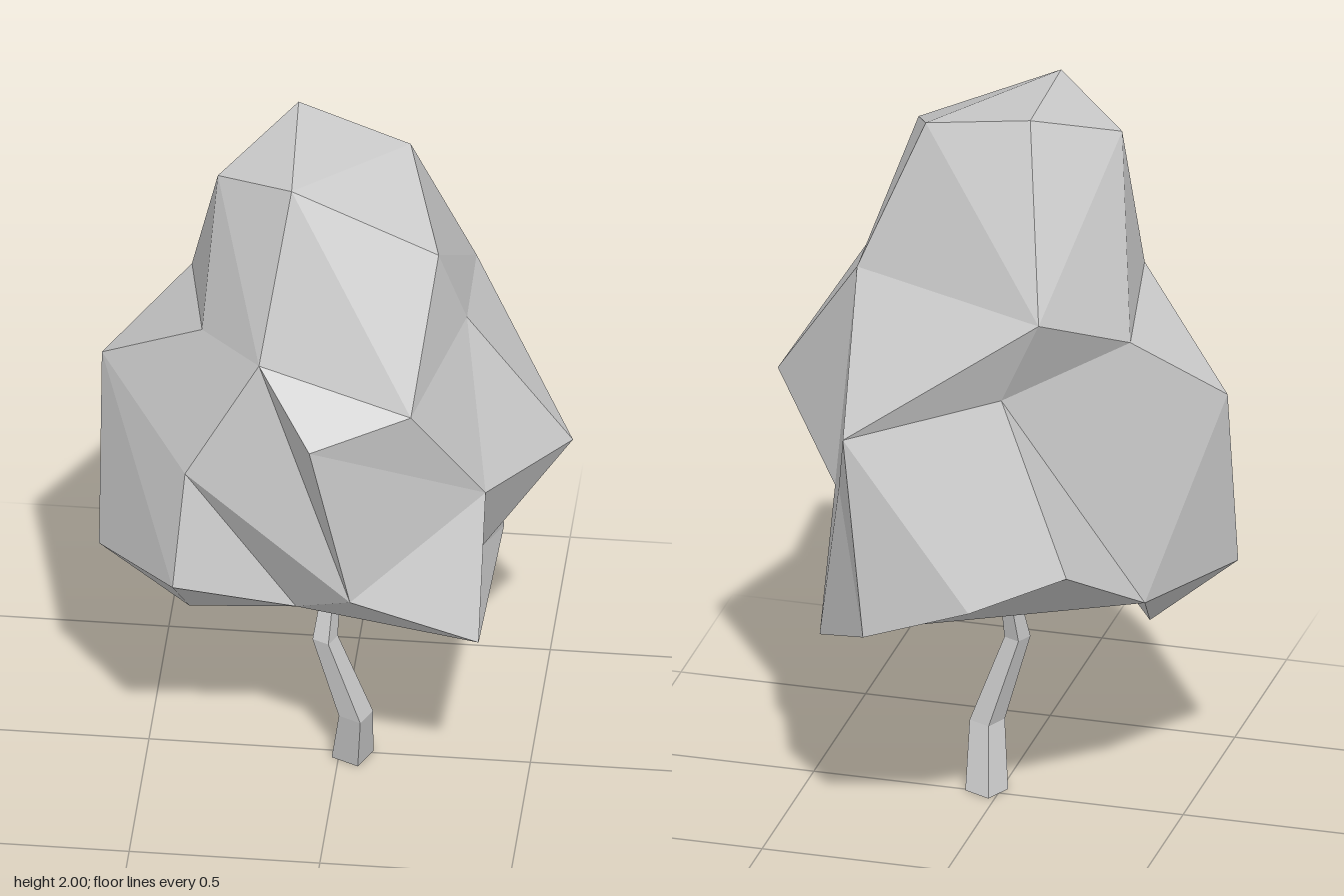
import * as THREE from 'three';

const material = new THREE.MeshStandardMaterial({ color: 0xcccccc, flatShading: true });

// Corner points of the faceted crown, from the tip down
const corners = {
  A: [-0.12, 2, -0.12], B: [-0.1, 1.98, 0.25], C: [0.18, 1.93, -0.06], D: [0.285, 1.8, 0.245], E: [-0.31, 1.9, 0.09],
  I: [0.345, 1.53, -0.135], a: [0.35, 1.54, 0.155], W: [-0.235, 1.57, -0.45], V: [-0.405, 1.42, -0.17],
  S: [-0.34, 1.48, 0.2], F: [-0.17, 1.52, 0.4], G: [0.235, 1.43, 0.465], H: [-0.02, 1.375, 0.575],
  J: [0.415, 1.09, 0.31], K: [0.62, 1.11, 0.08], X: [0.27, 1.22, -0.54], Y: [0.32, 1.015, -0.4],
  b: [-0.12, 1.32, -0.4], T: [-0.625, 1.23, -0.015], O: [-0.365, 1.15, 0.39],
  L: [0.08, 0.855, 0.51], R: [-0.39, 0.835, 0.465], M: [0.41, 0.7, 0.44], N: [-0.08, 0.7, 0.33],
  y: [0.375, 0.945, -0.24], z: [0.375, 0.74, 0.085], Q: [0.4, 0.54, -0.3], e: [0.21, 0.67, -0.56],
  f: [-0.08, 0.78, -0.575], c: [-0.32, 0.87, -0.485], d: [-0.44, 0.67, -0.155],
  U: [-0.62, 0.7, 0.105], P: [-0.385, 0.505, 0.09],
};

// Crease lines running from corner to corner
const creases = [
  'ABCDIWCA', 'CI', 'AEWA',                 // tip
  'BEFBGFSEVSTVWbV',                        // upper left
  'BDGHFLHJGaDaIKaJ', 'FOSOTRONLO',         // front
  'JLMNRPNQMzJMJKzQyzyK',                   // right and lower front
  'IyYIXYQeYeXfeQfQcfbXWX',                 // back
  'bcdbdVdTUdPURUPdQdN',                    // left and underside
];

// Skins every closed triangle of creases with a facet facing outwards
function crownGeometry() {
  const links = {};
  for (const key in corners) links[key] = new Set();
  for (const line of creases) {
    for (let i = 1; i < line.length; i++) {
      links[line[i - 1]].add(line[i]);
      links[line[i]].add(line[i - 1]);
    }
  }
  const middle = new THREE.Vector3(-0.05, 1.3, 0);
  const triangle = new THREE.Triangle();
  const normal = new THREE.Vector3(), centre = new THREE.Vector3();
  const positions = [];
  for (const p in links) for (const q of links[p]) for (const r of links[q]) {
    if (!(p < q && q < r && links[r].has(p))) continue;
    triangle.a.fromArray(corners[p]);
    triangle.b.fromArray(corners[q]);
    triangle.c.fromArray(corners[r]);
    triangle.getNormal(normal);
    triangle.getMidpoint(centre).sub(middle);
    const order = normal.dot(centre) > 0 ? [p, q, r] : [p, r, q];
    for (const key of order) positions.push(...corners[key]);
  }
  const geometry = new THREE.BufferGeometry();
  geometry.setAttribute('position', new THREE.Float32BufferAttribute(positions, 3));
  geometry.computeVertexNormals();
  return geometry;
}

// Crooked four-sided trunk: each ring of a cylinder is moved and scaled
function trunkGeometry() {
  const rings = [ // x, y, z, radius, from the top down
    [-0.008, 0.66, 0.018, 0.018],
    [-0.03, 0.42, 0.077, 0.034],
    [0.05, 0.175, 0.07, 0.046],
    [0.035, 0, 0.012, 0.056],
  ];
  const geometry = new THREE.CylinderGeometry(1, 1, 3, 4, 3);
  geometry.rotateY(0.35);
  const pos = geometry.attributes.position;
  for (let i = 0; i < pos.count; i++) {
    const [x, y, z, radius] = rings[Math.round(1.5 - pos.getY(i))];
    pos.setXYZ(i, x + pos.getX(i) * radius, y, z + pos.getZ(i) * radius);
  }
  geometry.computeVertexNormals();
  return geometry;
}

export function createModel() {
  const tree = new THREE.Group();
  tree.name = 'tree';
  const crown = new THREE.Mesh(crownGeometry(), material);
  crown.name = 'crown';
  const trunk = new THREE.Mesh(trunkGeometry(), material);
  trunk.name = 'trunk';
  tree.add(crown, trunk);
  return tree;
}
